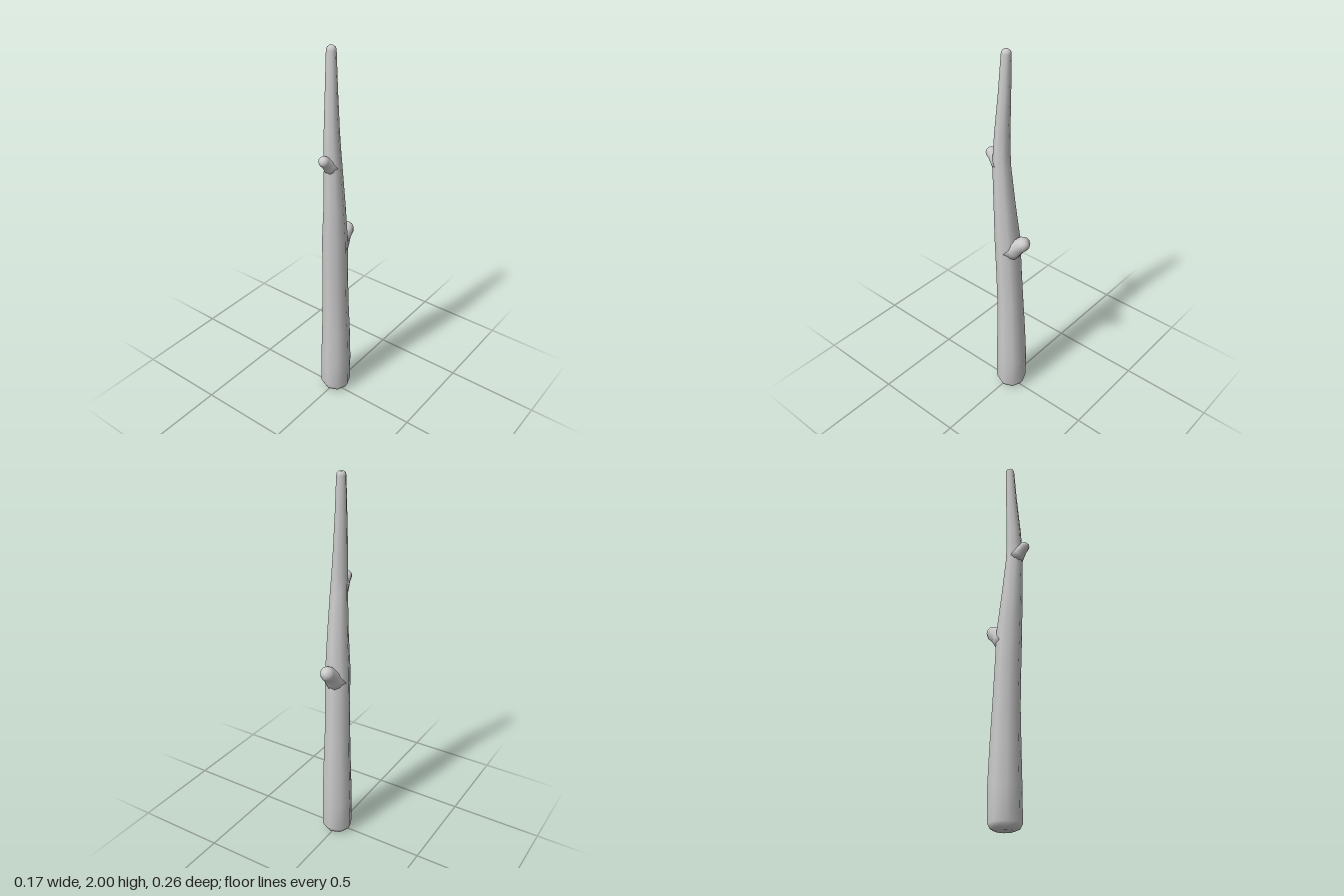
import * as THREE from 'three';

const material = new THREE.MeshStandardMaterial({ color: 0xcccccc });

// Closed smooth loft: stations are [x, y, z, radius]; dir is the normal of every ring
function loft(name, stations, dir, sides) {
  const u = new THREE.Vector3(1, 0, 0);
  const v = new THREE.Vector3().crossVectors(dir, u).normalize();
  const pos = [], index = [];
  for (const [x, y, z, r] of stations) {
    for (let j = 0; j < sides; j++) {
      const a = (j / sides) * Math.PI * 2;
      const p = new THREE.Vector3(x, y, z)
        .addScaledVector(u, r * Math.cos(a))
        .addScaledVector(v, r * Math.sin(a));
      pos.push(p.x, p.y, p.z);
    }
  }
  const last = (stations.length - 1) * sides;
  const startCentre = stations.length * sides, endCentre = startCentre + 1;
  pos.push(...stations[0].slice(0, 3), ...stations[stations.length - 1].slice(0, 3));
  for (let j = 0; j < sides; j++) {
    const k = (j + 1) % sides;
    for (let i = 0; i < last; i += sides) {
      index.push(i + j, i + k, i + sides + k, i + j, i + sides + k, i + sides + j);
    }
    index.push(startCentre, k, j, endCentre, last + j, last + k);
  }
  const geometry = new THREE.BufferGeometry();
  geometry.setAttribute('position', new THREE.Float32BufferAttribute(pos, 3));
  geometry.setIndex(index);
  geometry.computeVertexNormals();
  const mesh = new THREE.Mesh(geometry, material);
  mesh.name = name;
  return mesh;
}

// Short knob running from a flared root to a rounded tip
function knob(name, root, tip, radius) {
  const a = new THREE.Vector3(...root), b = new THREE.Vector3(...tip);
  const dir = b.clone().sub(a).normalize();
  const profile = [[0, 1.5], [0.3, 1.25], [0.55, 1], [0.78, 0.98], [0.92, 0.78], [1, 0.4]];
  const stations = profile.map(([t, s]) => [...a.clone().lerp(b, t).toArray(), radius * s]);
  return loft(name, stations, dir, 10);
}

export function createModel() {
  const group = new THREE.Group();
  group.name = 'stick';

  // Gently bent, tapering stem with a rounded foot and tip
  group.add(loft('stem', [
    [0, 0, -0.013, 0.045],
    [0, 0.01, -0.013, 0.07],
    [0, 0.035, -0.013, 0.083],
    [0, 0.2, -0.014, 0.083],
    [0.002, 0.4, -0.012, 0.077],
    [0.003, 0.6, -0.007, 0.07],
    [0.006, 0.8, 0, 0.067],
    [0.009, 1.0, 0.007, 0.066],
    [0.016, 1.2, 0.019, 0.055],
    [0.019, 1.42, 0.034, 0.045],
    [0.016, 1.5, 0.036, 0.042],
    [0.012, 1.6, 0.035, 0.038],
    [0.004, 1.8, 0.027, 0.03],
    [-0.001, 1.98, 0.021, 0.024],
    [-0.001, 1.993, 0.021, 0.021],
    [-0.001, 2.0, 0.021, 0.012],
  ], new THREE.Vector3(0, 1, 0), 8));

  // Cut-off twigs
  group.add(knob('backTwig', [0.008, 0.94, -0.01], [0.008, 1.037, -0.118], 0.04));
  group.add(knob('frontTwig', [0.017, 1.425, 0.045], [0.017, 1.488, 0.12], 0.028));

  return group;
}
